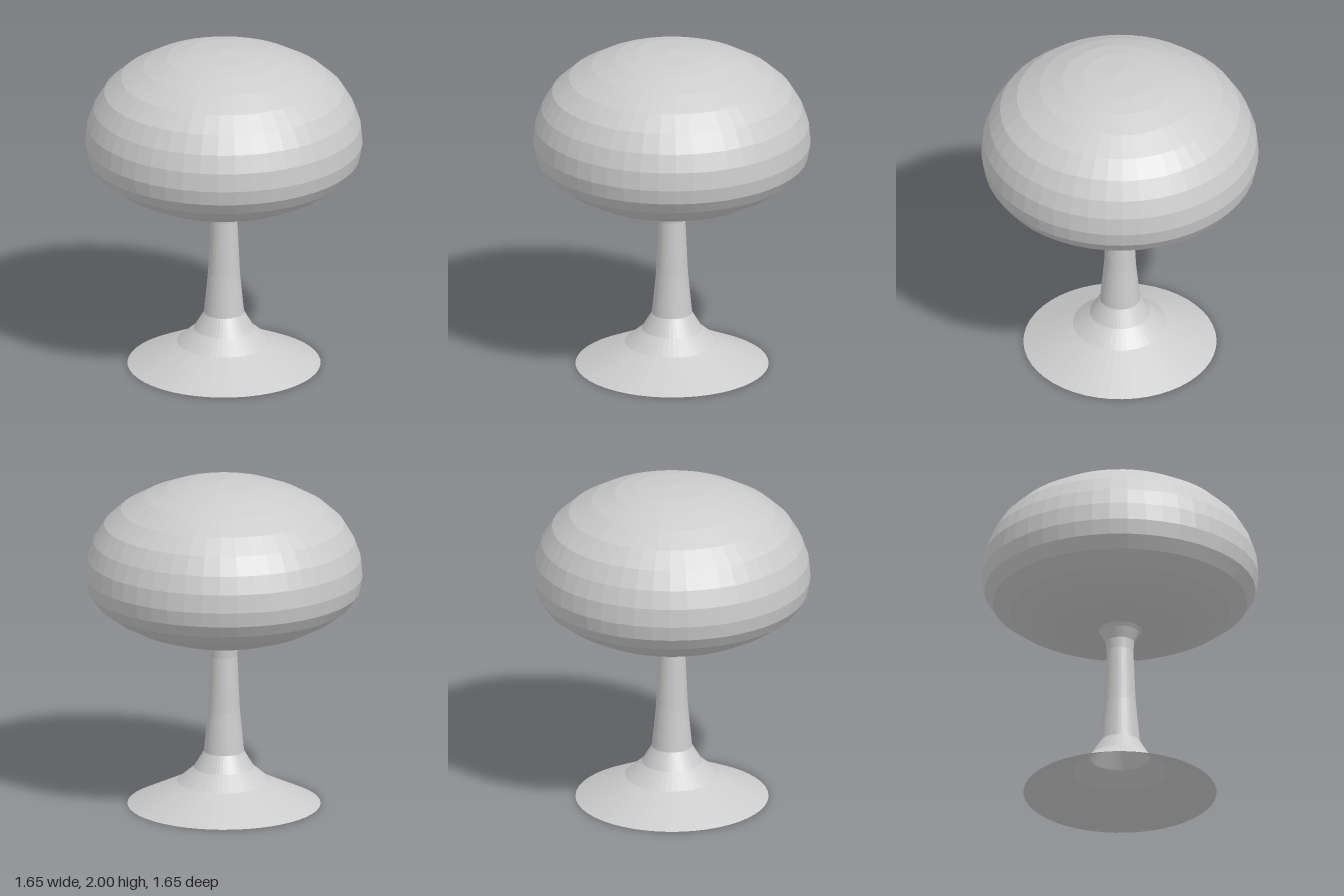
import * as THREE from 'three';

const SEGMENTS = 48;

// Faceted open shell turned around the y axis from [radius, height] pairs
function turned(name, profile, material) {
  const points = profile.map(([r, y]) => new THREE.Vector2(r, y));
  const mesh = new THREE.Mesh(new THREE.LatheGeometry(points, SEGMENTS), material);
  mesh.name = name;
  return mesh;
}

export function createModel() {
  const group = new THREE.Group();
  group.name = 'mushroomLamp';
  const material = new THREE.MeshStandardMaterial({
    color: 0xcccccc, flatShading: true, side: THREE.DoubleSide,
  });

  // Flared foot, hollow and open underneath
  group.add(turned('foot', [
    [0.575, 0], [0.28, 0.14], [0.18, 0.225], [0.12, 0.325],
  ], material));

  // Hollow tapering stem, widening where it meets the shade
  group.add(turned('stem', [
    [0.12, 0.325], [0.095, 0.58], [0.08, 0.915], [0.085, 0.98], [0.115, 1.04], [0.13, 1.06],
  ], material));

  // Domed shade with a shallow recess around the stem
  group.add(turned('shade', [
    [0.13, 1.06], [0.17, 1.055], [0.27, 1.04], [0.4, 1.06], [0.53, 1.105],
    [0.655, 1.17], [0.757, 1.245], [0.808, 1.32], [0.825, 1.41], [0.815, 1.52],
    [0.778, 1.625], [0.714, 1.73], [0.614, 1.82], [0.48, 1.895], [0.34, 1.95],
    [0.22, 1.977], [0, 2],
  ], material));

  return group;
}
